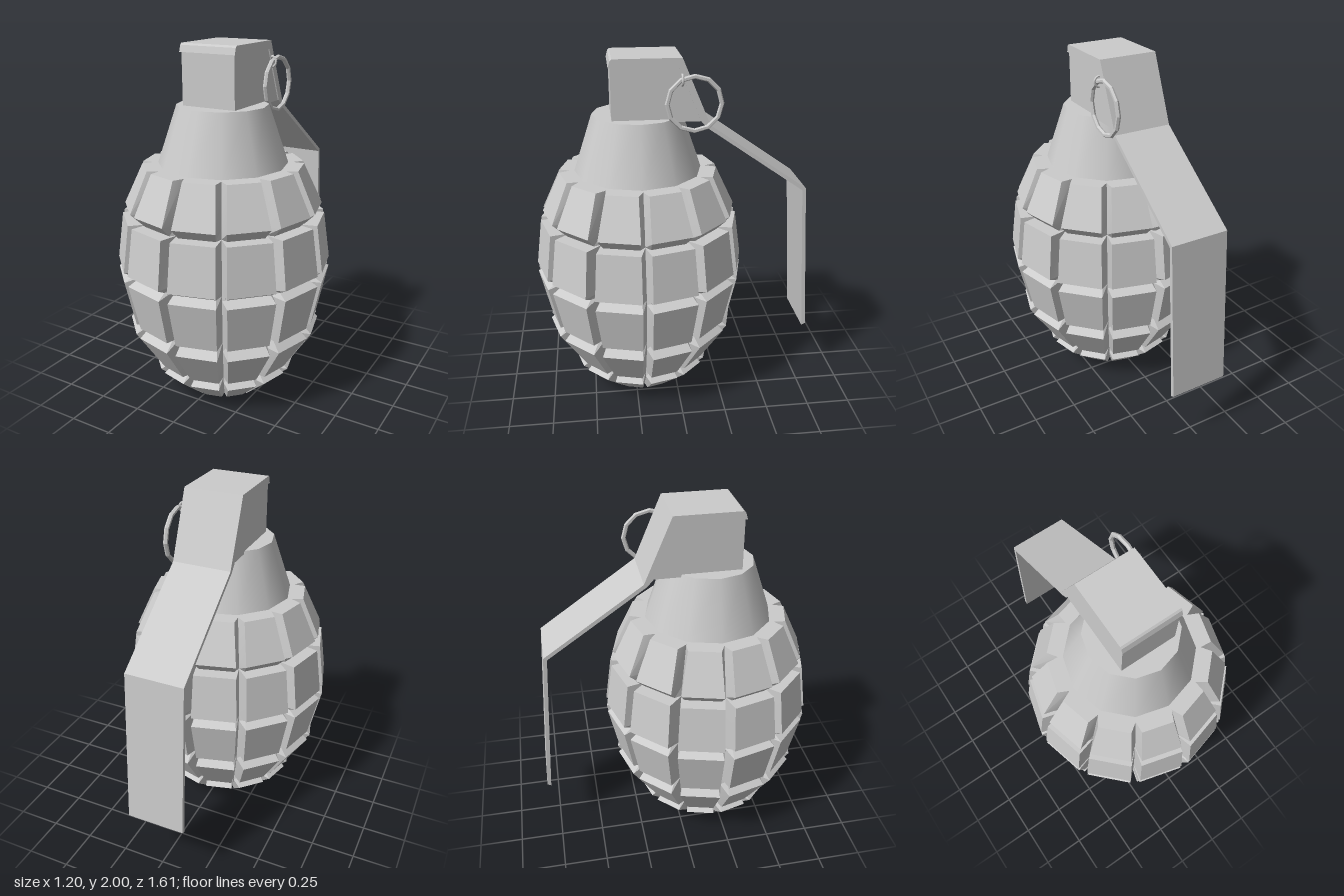
import * as THREE from 'three';
import { toCreasedNormals } from 'three/addons/utils/BufferGeometryUtils.js';

const SEGMENTS = 12;
const BODY_Z = 0.2;

// Segmented shell: each level is [y, outer radius, groove radius, groove half-width]
function shellGeometry(levels) {
  const positions = [], index = [];
  const n = SEGMENTS * 3;
  for (const [y, outer, inner, w] of levels) {
    for (let s = 0; s < SEGMENTS; s++) {
      const a = (s / SEGMENTS) * Math.PI * 2;
      const d = Math.asin(Math.min(w / outer, 0.2));
      for (const [r, t] of [[outer, a - d], [inner, a], [outer, a + d]]) {
        positions.push(Math.sin(t) * r, y, Math.cos(t) * r);
      }
    }
  }
  for (let i = 0; i < levels.length - 1; i++) {
    for (let j = 0; j < n; j++) {
      const k = (j + 1) % n;
      const a = i * n + j, b = i * n + k, c = b + n, d = a + n;
      index.push(a, b, c, a, c, d);
    }
  }
  const g = new THREE.BufferGeometry();
  g.setAttribute('position', new THREE.Float32BufferAttribute(positions, 3));
  g.setIndex(index);
  return toCreasedNormals(g, 0.35);
}

// Side outline given as [z, y], extruded across x and centred
function sideExtrude(points, width) {
  const shape = new THREE.Shape(points.map(([z, y]) => new THREE.Vector2(z, y)));
  const g = new THREE.ExtrudeGeometry(shape, { depth: width, bevelEnabled: false });
  g.translate(0, 0, -width / 2);
  g.rotateY(-Math.PI / 2);
  return g;
}

export function createModel() {
  const group = new THREE.Group();
  const material = new THREE.MeshStandardMaterial({ color: 0xcccccc });
  const flat = new THREE.MeshStandardMaterial({ color: 0xcccccc, flatShading: true });
  const add = (name, geometry, mat = material) => {
    const mesh = new THREE.Mesh(geometry, mat);
    mesh.name = name;
    group.add(mesh);
    return mesh;
  };

  // Body: shallow base recess, then five rows of blocks with chamfered grooves
  add('body', shellGeometry([
    [0.07, 0.001, 0.001, 0],
    [0.05, 0.12, 0.115, 0.005],
    [0, 0.235, 0.19, 0.014],
    [0.155, 0.41, 0.33, 0.025],
    [0.2, 0.355, 0.33, 0.025],
    [0.2, 0.41, 0.34, 0.026],
    [0.42, 0.55, 0.44, 0.028],
    [0.48, 0.485, 0.45, 0.028],
    [0.48, 0.545, 0.45, 0.028],
    [0.748, 0.603, 0.5, 0.028],
    [0.777, 0.55, 0.5, 0.028],
    [0.806, 0.603, 0.5, 0.028],
    [1.07, 0.566, 0.46, 0.028],
    [1.07, 0.49, 0.455, 0.028],
    [1.13, 0.55, 0.45, 0.028],
    [1.353, 0.445, 0.385, 0.028],
    [1.353, 0.33, 0.33, 0.02],
  ])).position.z = BODY_Z;

  // Tapered neck
  add('neck', new THREE.CylinderGeometry(0.25, 0.36, 0.325, SEGMENTS))
    .position.set(0, 1.513, BODY_Z);

  // Fuse head with a sloping back
  add('fuseHead', sideExtrude([
    [0.345, 1.66], [0.345, 1.97], [-0.025, 1.97], [-0.15, 1.66],
  ], 0.32));

  // Bent safety lever
  add('safetyLever', sideExtrude([
    [0.355, 1.955], [0.345, 1.99], [0.335, 2], [-0.032, 2], [-0.185, 1.638],
    [-0.742, 1.25], [-0.807, 0.35], [-0.785, 0.338], [-0.722, 1.238],
    [-0.17, 1.622], [-0.135, 1.66], [-0.012, 1.955],
  ], 0.334));

  // Pull ring beside the head
  const ring = add('pullRing', new THREE.TorusGeometry(0.146, 0.013, 6, 12), flat);
  ring.rotation.y = Math.PI / 2;
  ring.position.set(0.178, 1.76, -0.095);

  // Small pin loop holding the ring
  const loop = add('pinLoop', new THREE.TorusGeometry(0.028, 0.007, 6, 10, Math.PI), flat);
  loop.rotation.z = -Math.PI / 2;
  loop.position.set(0.172, 1.887, -0.03);

  return group;
}
